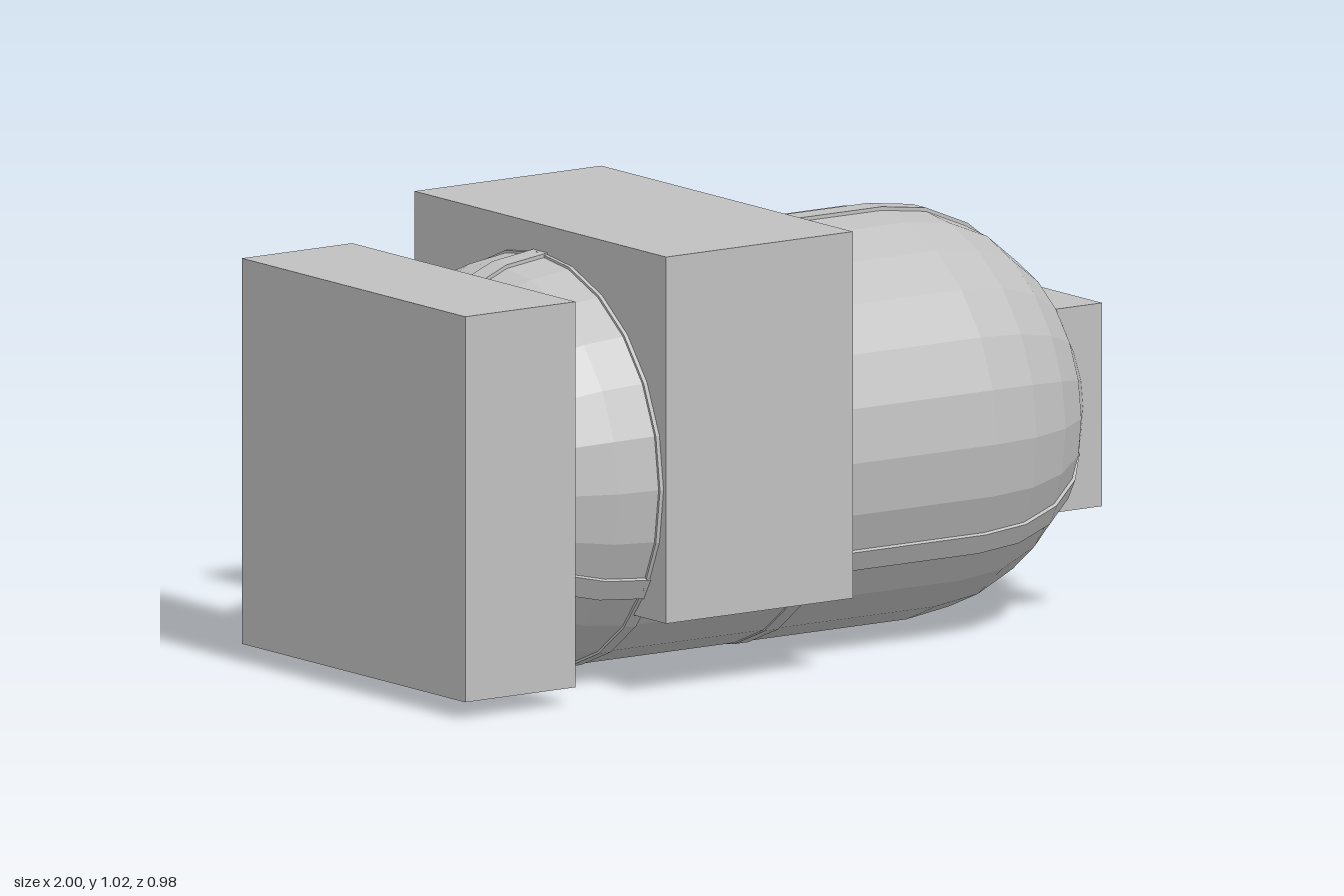
import * as THREE from 'three';

const R = 0.477;       // tank radius
const DOME_X = 0.465;  // where the domed ends begin
const CY = 0.48;       // height of the tank axis

export function createModel() {
  const model = new THREE.Group();
  const grey = new THREE.MeshStandardMaterial({ color: 0xc0c0c0 });
  grey.name = 'light grey';

  const add = (parent, name, geometry) => {
    const mesh = new THREE.Mesh(geometry, grey);
    mesh.name = name;
    parent.add(mesh);
    return mesh;
  };
  const faceted = (geometry) => {
    const g = geometry.toNonIndexed();
    g.computeVertexNormals();
    return g;
  };
  // Box given by its limits in x and y, centred on z = 0
  const block = (parent, name, x0, x1, y0, y1, depth) =>
    add(parent, name, new THREE.BoxGeometry(x1 - x0, y1 - y0, depth))
      .position.set((x0 + x1) / 2, (y0 + y1) / 2, 0);
  // Revolve (radius, x) points about the x axis
  const revolve = (points) =>
    faceted(new THREE.LatheGeometry(points, 24).rotateZ(-Math.PI / 2));

  // Capsule outline from the left end to the right end, as (radius, x)
  const outline = (radius, maxAngle) => {
    const points = [];
    const steps = Math.round(maxAngle / 15);
    for (const side of [-1, 1]) {
      for (let i = 0; i <= steps; i++) {
        const a = THREE.MathUtils.degToRad(15 * (side < 0 ? steps - i : i));
        points.push(new THREE.Vector2(
          Math.max(0, radius * Math.cos(a)), side * (DOME_X + radius * Math.sin(a))));
      }
    }
    return points;
  };

  // Tank with its hoops and lengthwise straps
  const tank = new THREE.Group();
  tank.name = 'tank';
  tank.position.y = CY;
  model.add(tank);
  add(tank, 'tankShell', revolve(outline(R, 90)));

  for (const [x0, x1] of [[-0.485, -0.45], [-0.02, 0.02]]) {
    add(tank, 'hoop', revolve([
      new THREE.Vector2(0.47, x0), new THREE.Vector2(0.48, x0),
      new THREE.Vector2(0.48, x1), new THREE.Vector2(0.47, x1),
      new THREE.Vector2(0.47, x0),
    ]));
  }

  const strapShape = new THREE.Shape([
    ...outline(R + 0.005, 75).map((p) => new THREE.Vector2(p.y, p.x)),
    ...outline(R - 0.012, 75).reverse().map((p) => new THREE.Vector2(p.y, p.x)),
  ]);
  const strapGeometry = new THREE.ExtrudeGeometry(strapShape, { depth: 0.055, bevelEnabled: false });
  strapGeometry.translate(0, 0, -0.0275);
  for (let i = 0; i < 3; i++) {
    const strap = new THREE.Group();
    strap.name = 'strapAssembly';
    strap.rotation.x = (i * Math.PI * 2) / 3;
    tank.add(strap);
    add(strap, 'strap', strapGeometry);
    block(strap, 'strapClip', 0.0, 0.07, 0.473, 0.487, 0.07);
  }

  // Square housings along the tank
  block(model, 'endHousing', -1, -0.69, 0.04, 0.935, 0.87);
  block(model, 'middleHousing', -0.475, 0.05, 0.172, 1.023, 0.98);
  block(model, 'noseHousing', 0.79, 0.935, 0.246, 0.718, 0.468);
  block(model, 'noseCap', 0.92, 1, 0.31, 0.57, 0.17);

  return model;
}
